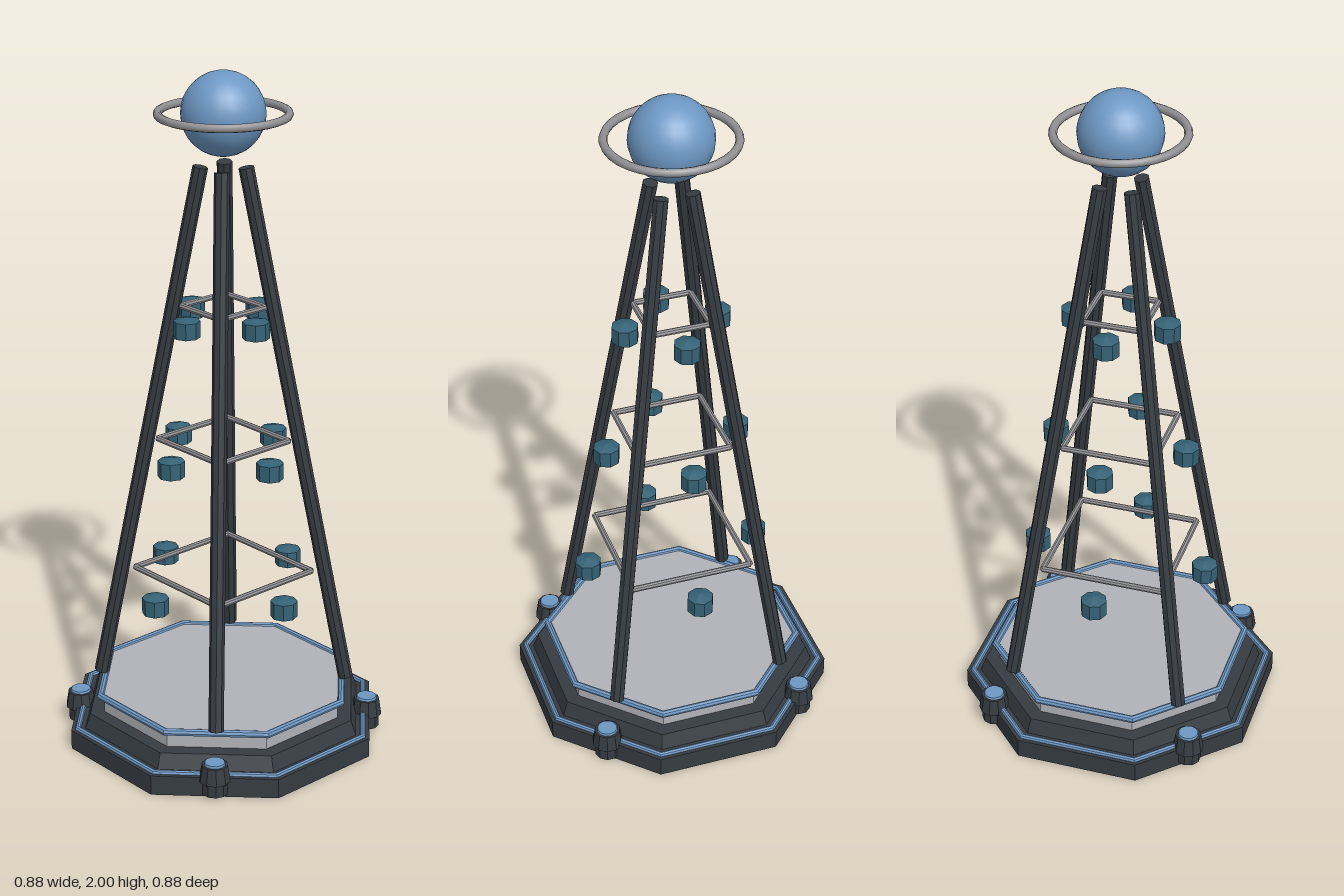
import * as THREE from 'three';

const mat = (name, color) => {
  const m = new THREE.MeshStandardMaterial({ color });
  m.name = name;
  return m;
};

// Faceted copy of a geometry
const flat = (g) => {
  const f = g.index ? g.toNonIndexed() : g;
  f.computeVertexNormals();
  return f;
};

export function createModel() {
  const dark = mat('dark metal', 0x363c42);
  const grey = mat('pale grey', 0xb0b3b9);
  const steel = mat('steel', 0x929296);
  const blue = mat('sky blue', 0x6d98c4);
  const teal = mat('teal', 0x356276);

  const model = new THREE.Group();
  const add = (name, geo, material, x = 0, y = 0, z = 0, parent = model) => {
    const mesh = new THREE.Mesh(geo, material);
    mesh.name = name;
    mesh.position.set(x, y, z);
    parent.add(mesh);
    return mesh;
  };
  const group = (name) => {
    const g = new THREE.Group();
    g.name = name;
    model.add(g);
    return g;
  };

  // Octagons are given by the distance from centre to flat side
  const corner = (a) => a / Math.cos(Math.PI / 8);
  const octagon = (top, bottom, h) =>
    flat(new THREE.CylinderGeometry(corner(top), corner(bottom), h, 8).rotateY(Math.PI / 8));
  const octRing = (a, tube) =>
    flat(new THREE.TorusGeometry(corner(a), tube, 8, 8).rotateZ(Math.PI / 8).rotateX(-Math.PI / 2));

  // Straight rod between two points
  const rod = (name, a, b, r, sides, material, parent) => {
    const dir = b.clone().sub(a);
    const mid = a.clone().add(b).multiplyScalar(0.5);
    const mesh = add(name, flat(new THREE.CylinderGeometry(r, r, dir.length(), sides)), material, mid.x, mid.y, mid.z, parent);
    mesh.quaternion.setFromUnitVectors(new THREE.Vector3(0, 1, 0), dir.normalize());
  };

  // Stepped base and floor
  add('baseStep', octagon(0.44, 0.44, 0.06), dark, 0, 0.03, 0);
  add('upperStep', octagon(0.385, 0.4, 0.045), dark, 0, 0.0825, 0);
  add('floorDrum', octagon(0.345, 0.345, 0.11), grey, 0, 0.105, 0);
  add('lowerTrim', octRing(0.421, 0.009), blue, 0, 0.061, 0);
  add('upperTrim', octRing(0.355, 0.011), blue, 0, 0.157, 0);

  // Corner bollards with blue caps
  const corners = [[1, 1], [1, -1], [-1, -1], [-1, 1]];
  const bollards = group('bollards');
  for (const [sx, sz] of corners) {
    const x = 0.305 * sx, z = 0.305 * sz;
    add('bollardPost', flat(new THREE.CylinderGeometry(0.038, 0.038, 0.06, 10)), dark, x, 0.04, z, bollards);
    add('bollardCollar', flat(new THREE.CylinderGeometry(0.038, 0.046, 0.05, 10)), dark, x, 0.075, z, bollards);
    add('bollardCap', new THREE.CylinderGeometry(0.029, 0.031, 0.008, 12), blue, x, 0.103, z, bollards);
  }

  // Four leaning legs
  const legs = group('legs');
  for (const [sx, sz] of corners) {
    rod('leg', new THREE.Vector3(0.259 * sx, 0.17, 0.259 * sz),
      new THREE.Vector3(0.045 * sx, 1.73, 0.045 * sz), 0.022, 8, dark, legs);
  }

  // Square braces with hanging pods on three levels
  const podGeo = flat(new THREE.LatheGeometry([
    new THREE.Vector2(0, -0.035), new THREE.Vector2(0.039, -0.024),
    new THREE.Vector2(0.039, 0.024), new THREE.Vector2(0, 0.035),
  ], 8));
  const levels = [
    { y: 0.512, half: 0.184, podY: 0.476, podR: 0.262 },
    { y: 0.921, half: 0.134, podY: 0.884, podR: 0.198 },
    { y: 1.325, half: 0.086, podY: 1.289, podR: 0.137 },
  ];
  for (const { y, half, podY, podR } of levels) {
    const level = group('braceLevel');
    corners.forEach(([ax, az], i) => {
      const [bx, bz] = corners[(i + 1) % 4];
      rod('braceRod', new THREE.Vector3(ax * half, y, az * half),
        new THREE.Vector3(bx * half, y, bz * half), 0.009, 8, steel, level);
      const t = i * Math.PI / 2;
      add('pod', podGeo, teal, Math.cos(t) * podR, podY, Math.sin(t) * podR, level);
    });
  }

  // Floating orb and its ring
  add('orb', new THREE.SphereGeometry(0.119, 24, 16), blue, 0, 1.881, 0);
  add('orbRing', new THREE.TorusGeometry(0.182, 0.012, 8, 32).rotateX(-Math.PI / 2), steel, 0, 1.881, 0);

  return model;
}
